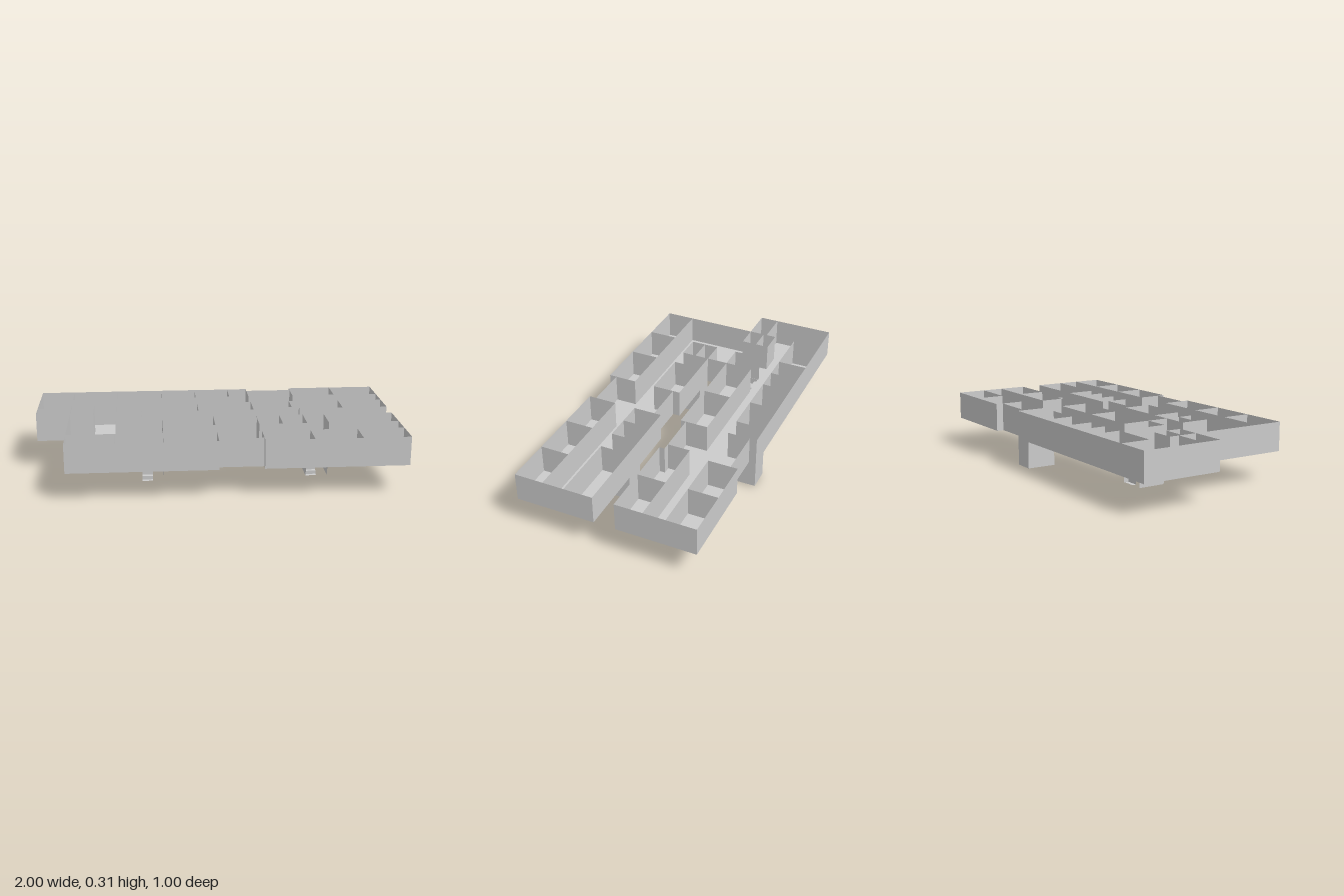
import * as THREE from 'three';

const FLOOR = 0.157, TOP = 0.315;
const material = new THREE.MeshStandardMaterial({ color: 0xcccccc, side: THREE.DoubleSide, flatShading: true });

function addMesh(parent, name, geometry) {
  const mesh = new THREE.Mesh(geometry, material);
  mesh.name = name;
  parent.add(mesh);
  return mesh;
}

// Thin upright panel between two plan points
function wall(parent, name, x0, z0, x1, z1, y0 = FLOOR, y1 = TOP) {
  const panel = addMesh(parent, name, new THREE.PlaneGeometry(Math.hypot(x1 - x0, z1 - z0), y1 - y0));
  panel.position.set((x0 + x1) / 2, (y0 + y1) / 2, (z0 + z1) / 2);
  panel.rotation.y = -Math.atan2(z1 - z0, x1 - x0);
}

// Thin level panel
function slab(parent, name, x0, x1, z0, z1, y) {
  const panel = addMesh(parent, name, new THREE.PlaneGeometry(Math.abs(x1 - x0), Math.abs(z1 - z0)).rotateX(-Math.PI / 2));
  panel.position.set((x0 + x1) / 2, y, (z0 + z1) / 2);
}

// Plan outline of the storey, (x, z)
const outline = [
  [-1, -0.5], [0.23, -0.5], [0.23, -0.46], [0.495, -0.46], [0.495, -0.5], [1, -0.5],
  [1, -0.06], [0.495, -0.06], [0.495, -0.09], [0.23, -0.09], [0.23, -0.06], [-0.41, -0.06],
  [-0.41, 0.06], [-0.01, 0.06], [-0.01, 0.1], [0.23, 0.1], [0.23, 0.06], [1, 0.06],
  [1, 0.5], [0.23, 0.5], [0.23, 0.46], [-0.01, 0.46], [-0.01, 0.5], [-0.81, 0.5],
  [-0.81, -0.055], [-1, -0.055],
];

// Stairwells: back = closed side, open = corridor side
const stairwells = [
  { x0: -0.55, x1: -0.41, back: -0.06, open: -0.215, base: 0 },
  { x0: -0.41, x1: -0.295, back: 0.06, open: 0.22, base: 0 },
  { x0: 0.115, x1: 0.23, back: -0.5, open: -0.337, base: 0.008 },
  { x0: 0.493, x1: 0.613, back: 0.06, open: 0.22, base: 0.008 },
];

// Corridor walls along x: [z, from, to], with gaps at the stairwells
const corridorWalls = [
  [-0.337, -0.81, 0.115], [-0.337, 0.495, 1],
  [-0.215, -0.41, 0.23], [-0.215, 0.455, 1],
  [0.22, -0.55, -0.41], [0.22, -0.295, -0.01], [0.22, 0.23, 0.493], [0.22, 0.613, 1],
  [0.34, -0.81, -0.01], [0.34, 0.23, 1],
  // Small service rooms
  [-0.16, -1, -0.81], [-0.215, -0.81, -0.68], [-0.14, -0.81, -0.68], [-0.055, -0.81, -0.68],
  [-0.06, -0.55, -0.41], [0.06, -0.55, -0.41], [0.14, -0.55, -0.41],
];

// Room dividers along z: [from, to, x positions]
const dividers = [
  [-0.5, -0.337, [-0.81, -0.55, -0.415, -0.285, -0.085, 0.115, 0.23, 0.495, 0.745]],
  [-0.215, -0.06, [-0.55, -0.41, -0.085, 0.23, 0.745]],
  [-0.215, -0.09, [0.455]],
  [-0.215, -0.055, [-0.81, -0.68]],
  [0.06, 0.22, [-0.55, -0.41, -0.295, -0.01, 0.23, 0.36, 0.493, 0.613]],
  [0.34, 0.5, [-0.55, -0.295, -0.01, 0.23, 0.49, 0.745]],
];

function createStairwell({ x0, x1, back, open, base }) {
  const group = new THREE.Group();
  group.name = 'stairwell';
  wall(group, 'shaftBackWall', x0, back, x1, back, base, FLOOR);
  for (const x of [x0, x1]) wall(group, 'shaftSideWall', x, back, x, open, base, FLOOR);

  // Two flights, turning at a landing half way down
  const inward = Math.sign(back - open), xm = (x0 + x1) / 2, steps = 4;
  const tread = 0.0225, rise = (FLOOR - base) / (2 * steps);
  const start = open + inward * 0.006;
  const landing = start + inward * tread * steps;
  const mid = base + rise * steps;
  slab(group, 'stairEdge', x0, x1, open, start, FLOOR);
  slab(group, 'landing', x0, x1, landing, back, mid);

  const flight = (name, xa, xb, z, dir, top) => {
    for (let i = 0; i < steps; i++) {
      const za = z + dir * tread * i, y = top - rise * (i + 1);
      wall(group, name + 'Riser', xa, za, xb, za, y, y + rise);
      slab(group, name + 'Tread', xa, xb, za, za + dir * tread, y);
    }
  };
  const [upper, lower] = inward < 0 ? [[xm, x1], [x0, xm]] : [[x0, xm], [xm, x1]];
  flight('upperFlight', ...upper, start, inward, FLOOR);
  flight('lowerFlight', ...lower, landing, -inward, mid);
  return group;
}

export function createModel() {
  const model = new THREE.Group();
  model.name = 'floorPlan';

  // Floor with stairwell openings
  const shape = new THREE.Shape(outline.map(([x, z]) => new THREE.Vector2(x, z)));
  const e = 0.001;
  for (const { x0, x1, back, open } of stairwells) {
    const z0 = Math.min(back, open) + e, z1 = Math.max(back, open) - e;
    shape.holes.push(new THREE.Path([[x0 + e, z0], [x0 + e, z1], [x1 - e, z1], [x1 - e, z0]]
      .map(([x, z]) => new THREE.Vector2(x, z))));
  }
  addMesh(model, 'floor', new THREE.ShapeGeometry(shape).rotateX(Math.PI / 2)).position.y = FLOOR;

  // Outer walls
  outline.forEach(([x, z], i) => {
    const [nx, nz] = outline[(i + 1) % outline.length];
    wall(model, 'outerWall', x, z, nx, nz);
  });

  // Inner walls
  for (const [z, a, b] of corridorWalls) wall(model, 'corridorWall', a, z, b, z);
  for (const [a, b, xs] of dividers) for (const x of xs) wall(model, 'roomDivider', x, a, x, b);

  for (const s of stairwells) model.add(createStairwell(s));
  return model;
}
